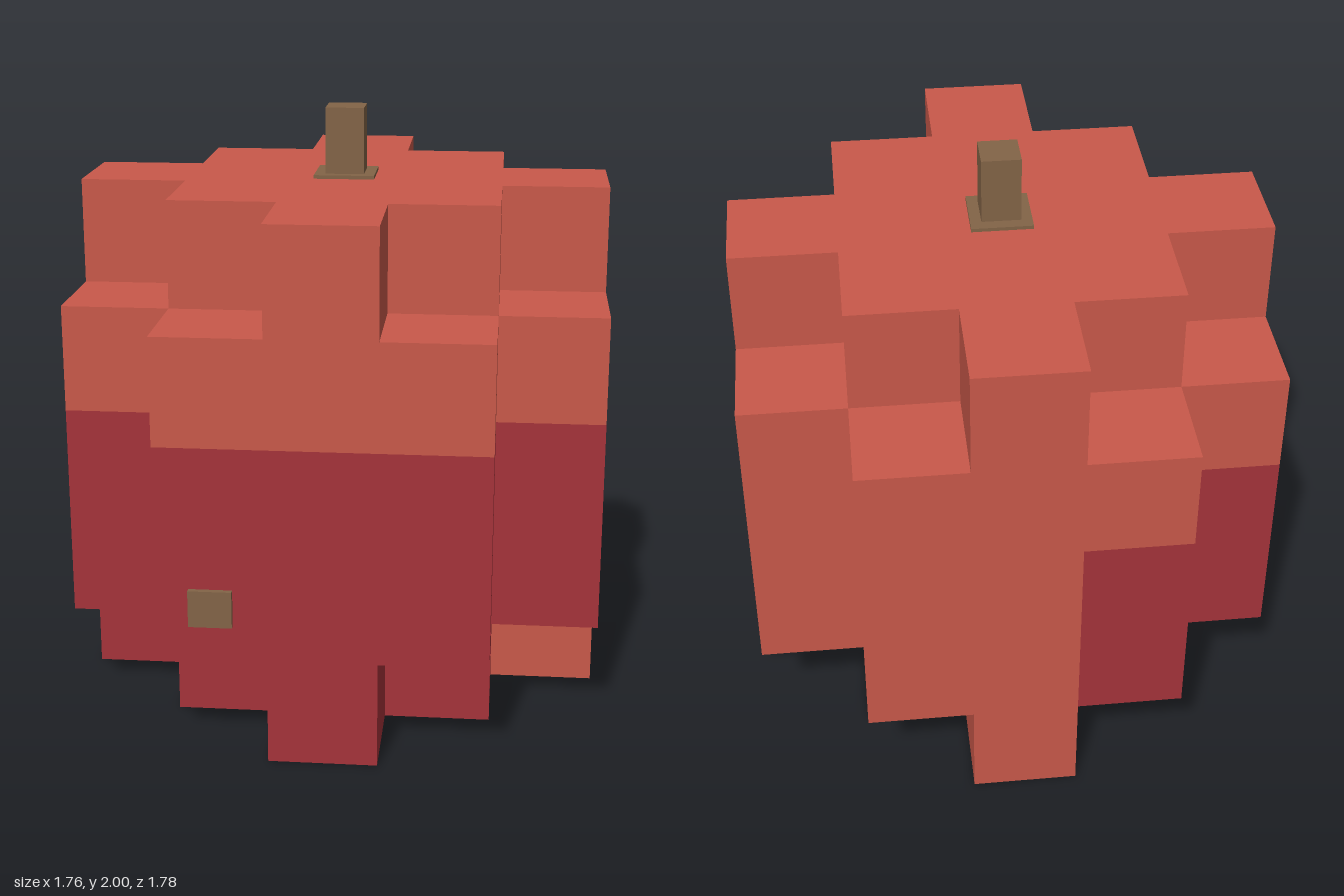
import * as THREE from 'three';
import { mergeGeometries } from 'three/addons/utils/BufferGeometryUtils.js';

const U = 0.353;       // edge of one block
const CZ = -0.01;      // depth centre of the fruit

const red = new THREE.MeshStandardMaterial({ name: 'red skin', color: 0xc9594a });
const crimson = new THREE.MeshStandardMaterial({ name: 'crimson skin', color: 0xa5333a });
const brown = new THREE.MeshStandardMaterial({ name: 'brown wood', color: 0x836447 });

// Blocky sphere: smaller cross on the top and bottom layers, square without corners between
function filled(i, k, j) {
  if (k < 0 || k > 4 || Math.abs(i) > 2 || Math.abs(j) > 2) return false;
  return Math.abs(i) + Math.abs(j) <= (k === 0 || k === 4 ? 2 : 3);
}

// The lower three layers are crimson on the front and on the -x side
const isCrimson = (i, k, j) => k < 3 && (i < 0 || j > 0);

// Joins the exposed block faces of all cells that pass the test
function blockSkin(test) {
  const directions = [[1, 0, 0], [-1, 0, 0], [0, 1, 0], [0, -1, 0], [0, 0, 1], [0, 0, -1]];
  const forward = new THREE.Vector3(0, 0, 1);
  const faces = [];
  for (let i = -2; i <= 2; i++) for (let k = 0; k <= 4; k++) for (let j = -2; j <= 2; j++) {
    if (!filled(i, k, j) || !test(i, k, j)) continue;
    for (const [dx, dy, dz] of directions) {
      if (filled(i + dx, k + dy, j + dz)) continue;
      const turn = new THREE.Quaternion().setFromUnitVectors(forward, new THREE.Vector3(dx, dy, dz));
      const face = new THREE.PlaneGeometry(U, U).applyQuaternion(turn);
      face.translate((i + dx / 2) * U, (k + 0.5 + dy / 2) * U, (j + dz / 2) * U + CZ);
      faces.push(face);
    }
  }
  return mergeGeometries(faces);
}

function addMesh(group, name, geometry, material, x = 0, y = 0, z = 0) {
  const mesh = new THREE.Mesh(geometry, material);
  mesh.name = name;
  mesh.position.set(x, y, z);
  group.add(mesh);
}

export function createModel() {
  const group = new THREE.Group();
  group.name = 'blockFruit';

  // Body
  addMesh(group, 'redSkin', blockSkin((i, k, j) => !isCrimson(i, k, j)), red);
  addMesh(group, 'crimsonSkin', blockSkin(isCrimson), crimson);

  // Stem and its base plate
  const top = 5 * U;
  addMesh(group, 'stemBase', new THREE.BoxGeometry(0.204, 0.012, 0.204), brown, -0.003, top + 0.006, -0.012);
  addMesh(group, 'stem', new THREE.BoxGeometry(0.13, 2 - top, 0.13), brown, -0.003, (2 + top) / 2, -0.009);

  // Brown spot on the front
  addMesh(group, 'frontSpot', new THREE.BoxGeometry(0.14, 0.122, 0.02), brown, -0.354, 0.53, 2.5 * U + CZ + 0.009);
  return group;
}
